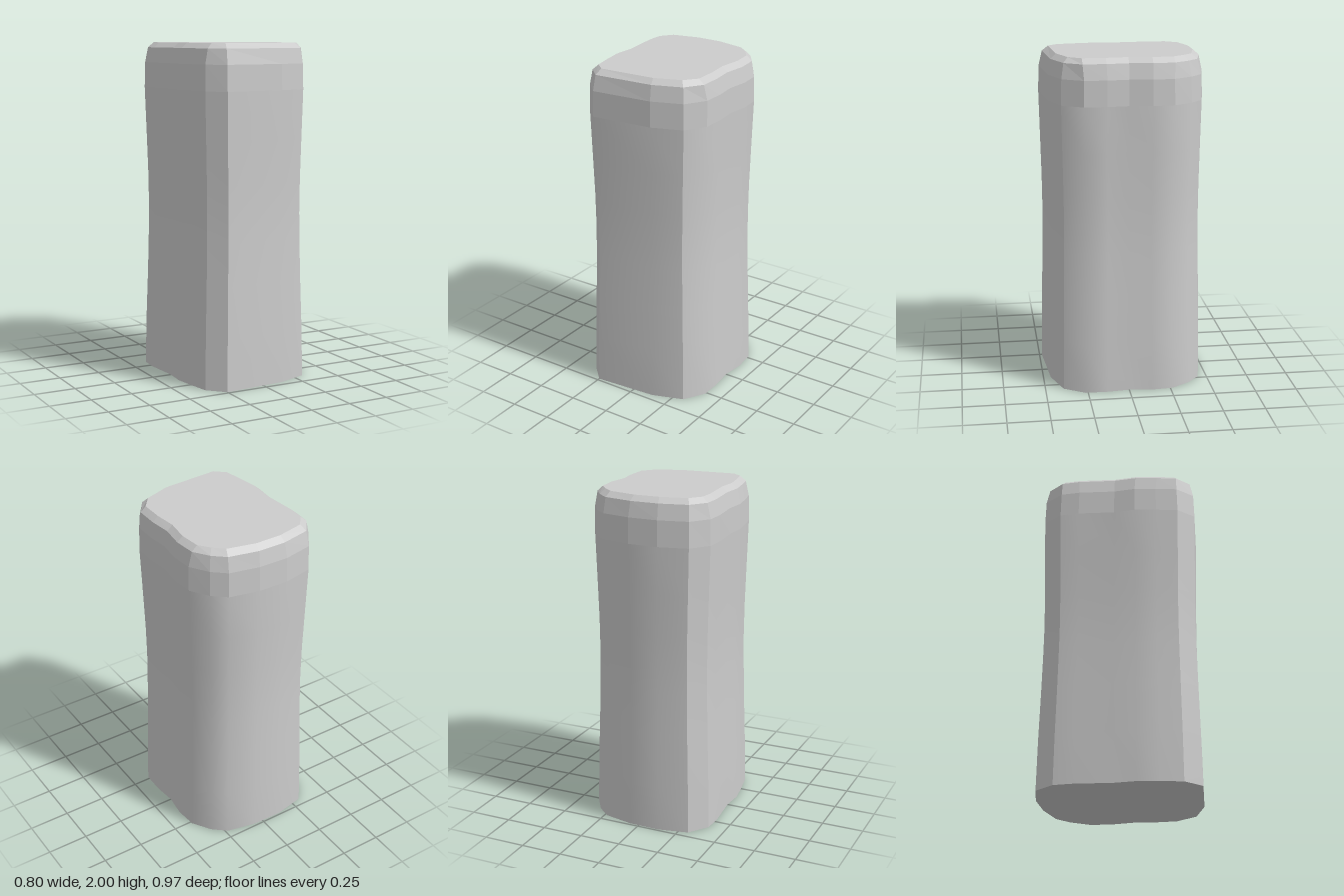
import * as THREE from 'three';
import { toCreasedNormals } from 'three/addons/utils/BufferGeometryUtils.js';

// Foot outline and top face outline, as matching [x, z] points
const base = [
  [-0.31, -0.45], [-0.13, -0.488], [0.055, -0.485], [0.235, -0.445], [0.315, -0.375],
  [0.385, -0.265], [0.397, -0.135], [0.38, 0], [0.394, 0.13], [0.392, 0.265],
  [0.315, 0.39], [0.13, 0.455], [-0.25, 0.485], [-0.345, 0.39], [-0.37, 0.26],
  [-0.39, 0.13], [-0.38, 0], [-0.4, -0.22], [-0.394, -0.335],
];
const cap = [
  [-0.275, -0.385], [-0.115, -0.42], [0.04, -0.42], [0.21, -0.38], [0.27, -0.325],
  [0.32, -0.26], [0.333, -0.135], [0.315, 0], [0.33, 0.13], [0.33, 0.265],
  [0.27, 0.34], [0.115, 0.395], [-0.225, 0.415], [-0.285, 0.36], [-0.305, 0.26],
  [-0.325, 0.13], [-0.315, 0], [-0.335, -0.22], [-0.33, -0.315],
];

// Cross-sections: height, x scale, z scale, blend from foot outline to top outline
const bodyRings = [
  [0, 1, 1, 0], [0.3, 0.983, 0.99, 0], [0.6, 0.956, 0.974, 0], [0.85, 0.94, 0.963, 0],
  [1, 0.935, 0.959, 0], [1.2, 0.94, 0.962, 0], [1.45, 0.958, 0.973, 0], [1.73, 0.98, 0.985, 0],
];
const shoulderRings = [
  [1.73, 0.98, 0.985, 0], [1.88, 0.973, 0.975, 0], [1.97, 1, 1, 0.47], [2, 1, 1, 1],
];

function section([y, sx, sz, t]) {
  return base.map(([x, z], i) => new THREE.Vector3(
    THREE.MathUtils.lerp(x, cap[i][0], t) * sx, y,
    THREE.MathUtils.lerp(z, cap[i][1], t) * sz));
}

// Skin the rings with quads, closing the first or last ring with a fan
function loft(rings, closeBottom, closeTop) {
  const rows = rings.map(section), n = base.length, pos = [];
  const tri = (...pts) => pts.forEach(p => pos.push(p.x, p.y, p.z));
  for (let r = 0; r < rows.length - 1; r++) {
    for (let i = 0; i < n; i++) {
      const j = (i + 1) % n, a = rows[r], b = rows[r + 1];
      tri(a[i], b[i], b[j]);
      tri(a[i], b[j], a[j]);
    }
  }
  const fan = (row, up) => {
    const c = new THREE.Vector3(0, row[0].y, 0);
    row.forEach((p, i) => {
      const q = row[(i + 1) % n];
      if (up) tri(c, q, p); else tri(c, p, q);
    });
  };
  if (closeBottom) fan(rows[0], false);
  if (closeTop) fan(rows[rows.length - 1], true);
  const g = new THREE.BufferGeometry();
  g.setAttribute('position', new THREE.Float32BufferAttribute(pos, 3));
  g.computeVertexNormals();
  return g;
}

export function createModel() {
  const group = new THREE.Group();
  group.name = 'stonePillar';

  // Waisted column, smooth apart from its sharp corners
  const body = new THREE.Mesh(
    toCreasedNormals(loft(bodyRings, true, false), 0.55),
    new THREE.MeshStandardMaterial({ color: 0xcccccc }));
  body.name = 'column';

  // Faceted, bevelled top
  const shoulder = new THREE.Mesh(
    loft(shoulderRings, false, true),
    new THREE.MeshStandardMaterial({ color: 0xcccccc, flatShading: true }));
  shoulder.name = 'bevelledTop';

  group.add(body, shoulder);
  return group;
}
